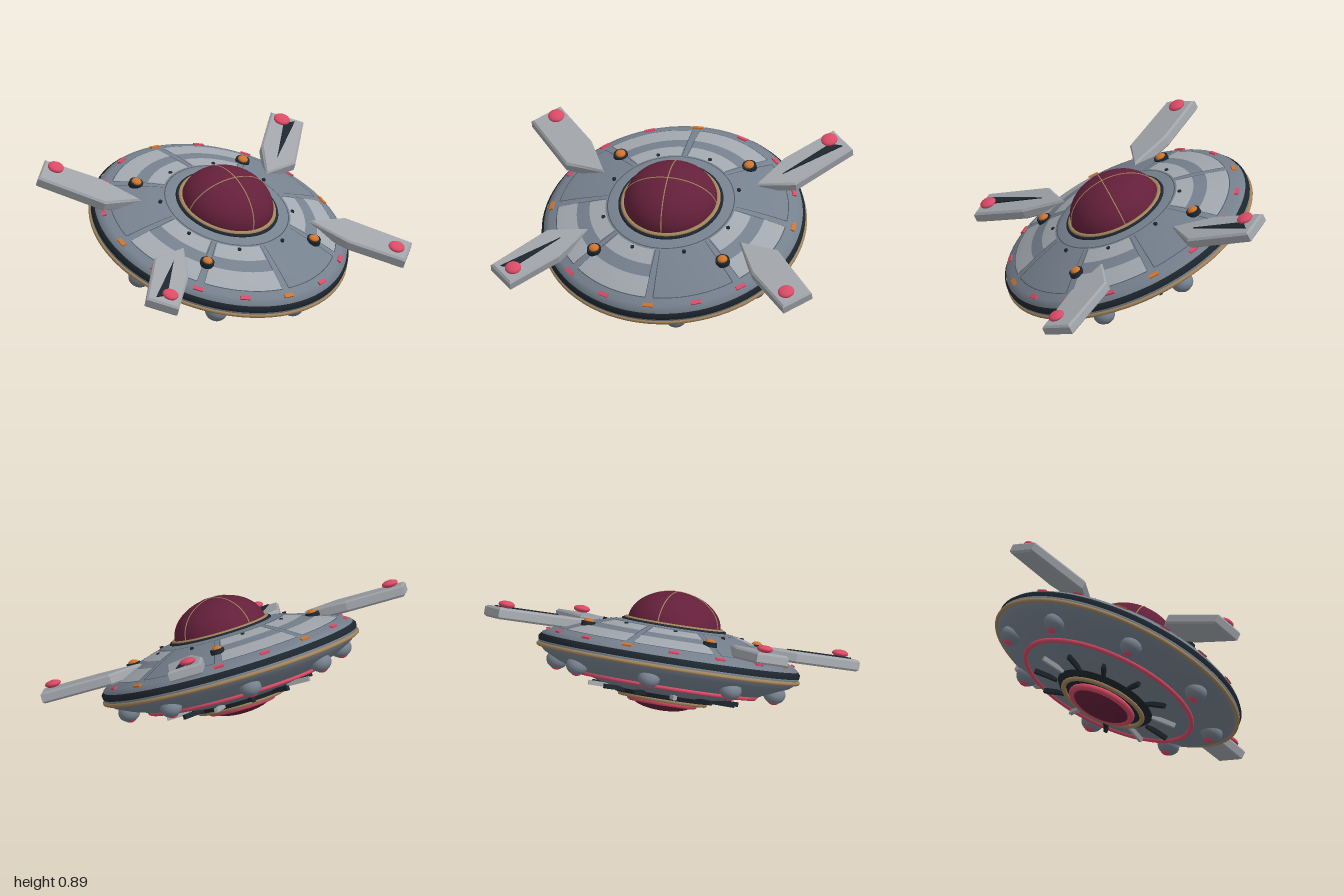
import * as THREE from 'three';

const mat = (name, color, side = THREE.FrontSide) => {
  const m = new THREE.MeshStandardMaterial({ color, side });
  m.name = name;
  return m;
};

export function createModel() {
  const hullGrey = mat('hullGrey', 0x76818e);
  const panelGrey = mat('panelGrey', 0xa2a8af, THREE.DoubleSide);
  const wingGrey = mat('wingGrey', 0xa0a4a9);
  const black = mat('black', 0x1d262e, THREE.DoubleSide);
  const seamGrey = mat('seamGrey', 0x4a525b, THREE.DoubleSide);
  const wine = mat('wine', 0x64203a);
  const gold = mat('gold', 0xa3855c);
  const pink = mat('pink', 0xdb4a66);
  const orange = mat('orange', 0xd0742c);

  const model = new THREE.Group();
  const saucer = new THREE.Group();
  saucer.name = 'saucer';
  saucer.rotation.x = 0.415;
  saucer.position.set(0, 0.415, -0.005);
  model.add(saucer);

  const add = (name, geometry, material, x = 0, y = 0, z = 0) => {
    const mesh = new THREE.Mesh(geometry, material);
    mesh.name = name;
    mesh.position.set(x, y, z);
    saucer.add(mesh);
    return mesh;
  };
  const ring = (name, radius, tube, y, material) =>
    add(name, new THREE.TorusGeometry(radius, tube, 10, 80).rotateX(Math.PI / 2), material, 0, y, 0);
  const rad = THREE.MathUtils.degToRad;
  const v = (r, y) => new THREE.Vector2(r, y);

  // Hull, from the bottom centre out to the rim and up to the dome
  const upper = [[0.785, 0.07], [0.75, 0.092], [0.68, 0.122], [0.57, 0.16], [0.46, 0.193], [0.39, 0.212], [0.3, 0.23]];
  const lower = [[0.001, -0.19], [0.3, -0.19], [0.42, -0.165], [0.55, -0.128], [0.66, -0.088], [0.75, -0.045], [0.798, -0.005], [0.8, 0.02]];
  const profile = [...lower, ...upper, [0.001, 0.235]].map(p => v(...p));
  add('hull', new THREE.LatheGeometry(profile, 80), hullGrey);

  // Height of the upper hull at a radius
  const topY = r => {
    for (let i = 0; i < upper.length - 1; i++) {
      const [r0, y0] = upper[i], [r1, y1] = upper[i + 1];
      if (r >= r1) return y0 + (y1 - y0) * (r0 - r) / (r0 - r1);
    }
    return 0.23;
  };

  // Thin plate lying on the upper hull; angles run from +x towards +z
  const plate = (name, rOut, rIn, from, to, material, lift) => {
    const pts = [];
    for (let i = 0; i <= 4; i++) {
      const r = rOut + (rIn - rOut) * i / 4;
      pts.push(v(r, topY(r) + lift));
    }
    const segments = Math.max(1, Math.round((to - from) / 4.5));
    add(name, new THREE.LatheGeometry(pts, segments, rad(90 - to), rad(to - from)), material);
  };

  // Rim bands
  ring('rimTrim', 0.797, 0.013, -0.004, gold);
  add('rimBand', new THREE.LatheGeometry([v(0.802, 0.022), v(0.804, 0.045), v(0.79, 0.062)], 80), black);

  // Eight panel sectors, five of them with pale plates
  const pale = [0, 2, 3, 5, 6];
  for (let s = 0; s < 8; s++) {
    const a = s * 45 + 2, b = s * 45 + 43;
    if (pale.includes(s)) {
      plate('outerPanel', 0.705, 0.58, a, b, panelGrey, 0.005);
      plate('innerPanel', 0.5, 0.4, a + 1, b - 1, panelGrey, 0.005);
    }
    plate('panelSeam', 0.71, 0.705, a, b, seamGrey, 0.004);
    for (const e of [a, b]) plate('panelSeam', 0.705, 0.4, e - 0.25, e + 0.25, seamGrey, 0.004);
  }
  plate('collarSeam', 0.39, 0.384, 0, 360, seamGrey, 0.004);

  // Small vents around the collar
  for (let i = 0; i < 8; i++) {
    const a = rad(22.5 + i * 45);
    add('vent', new THREE.CylinderGeometry(0.012, 0.012, 0.016, 12), black, 0.42 * Math.cos(a), 0.207, 0.42 * Math.sin(a));
  }

  // Rim lights
  for (let i = 0; i < 16; i++) {
    const a = rad(i * 22.5);
    const light = add('rimLight', new THREE.BoxGeometry(0.024, 0.018, 0.062), i % 4 ? pink : orange,
      0.75 * Math.cos(a), 0.092, 0.75 * Math.sin(a));
    light.rotation.set(0, -a, -0.4, 'YXZ');
  }

  // Dome with crossed ribs and collar rings
  const domeY = 0.23;
  add('dome', new THREE.SphereGeometry(0.285, 48, 20, 0, Math.PI * 2, 0, Math.PI / 2).scale(1, 0.205 / 0.285, 1), wine, 0, domeY, 0);
  for (const turn of [0, Math.PI / 2]) {
    const rib = new THREE.TorusGeometry(0.285, 0.004, 6, 48, Math.PI).scale(1, 0.205 / 0.285, 1).rotateY(turn);
    add('domeRib', rib, gold, 0, domeY, 0);
  }
  ring('domeTrim', 0.292, 0.014, domeY + 0.004, gold);
  ring('domeSeal', 0.308, 0.013, domeY - 0.005, black);

  // Four wings, mirrored in x and z, with end pads and two stripes
  const flat = (points, sx, sz) => new THREE.Shape(points.map(([x, z]) => v(x * sx, z * sz)));
  const wingPoints = [[0.47, 0.24], [0.715, 0.275], [1.0, 0.61], [0.85, 0.755], [0.6, 0.49]];
  const stripePoints = [[0.62, 0.345], [0.935, 0.62], [0.855, 0.625]];
  for (const sx of [1, -1]) for (const sz of [1, -1]) {
    const wing = new THREE.ExtrudeGeometry(flat(wingPoints, sx, sz), {
      depth: 0.046, bevelEnabled: true, bevelThickness: 0.012, bevelSize: 0.012, bevelOffset: -0.012, bevelSegments: 1,
    });
    add('wing', wing.rotateX(Math.PI / 2), wingGrey, 0, 0.173, 0);
    if (sx !== sz) {
      const stripe = new THREE.ExtrudeGeometry(flat(stripePoints, sx, sz), { depth: 0.009, bevelEnabled: false });
      add('wingStripe', stripe.rotateX(Math.PI / 2), black, 0, 0.192, 0);
    }
    add('wingPad', new THREE.SphereGeometry(0.05, 24, 14).scale(1, 0.45, 1), pink, 0.85 * sx, 0.207, 0.645 * sz);

    // Amber beacon in a dark socket
    add('beaconSocket', new THREE.CylinderGeometry(0.043, 0.045, 0.03, 24), black, 0.4 * sx, 0.167, 0.4 * sz);
    add('beacon', new THREE.SphereGeometry(0.031, 20, 12).scale(1, 0.6, 1), orange, 0.4 * sx, 0.183, 0.4 * sz);
  }

  // Underside pods with glowing tips
  for (let i = 0; i < 8; i++) {
    const a = rad(33 + i * 45), x = 0.675 * Math.cos(a), z = 0.675 * Math.sin(a);
    add('pod', new THREE.SphereGeometry(0.068, 24, 16).scale(1, 0.85, 1), hullGrey, x, -0.088, z);
    add('podTip', new THREE.SphereGeometry(0.036, 20, 12).scale(1, 0.7, 1), pink, x, -0.127, z);
  }

  // Underside engine: rings, hub, spokes and lens
  ring('lowerRing', 0.55, 0.015, -0.132, pink);
  add('engineHub', new THREE.CylinderGeometry(0.33, 0.29, 0.05, 64), black, 0, -0.19, 0);
  ring('engineTrim', 0.26, 0.016, -0.22, gold);
  ring('lensTrim', 0.195, 0.021, -0.237, pink);
  add('lensBase', new THREE.CylinderGeometry(0.2, 0.195, 0.05, 48), black, 0, -0.215, 0);
  add('lens', new THREE.SphereGeometry(0.185, 36, 16).scale(1, 0.32, 1), wine, 0, -0.235, 0);
  const paleSpokes = [1, 3, 8, 11];
  for (let i = 0; i < 12; i++) {
    const a = rad(i * 30);
    const spoke = add('spoke', new THREE.BoxGeometry(0.15, 0.028, 0.022), paleSpokes.includes(i) ? wingGrey : black,
      0.39 * Math.cos(a), -0.19, 0.39 * Math.sin(a));
    spoke.rotation.y = -a;
  }

  return model;
}
